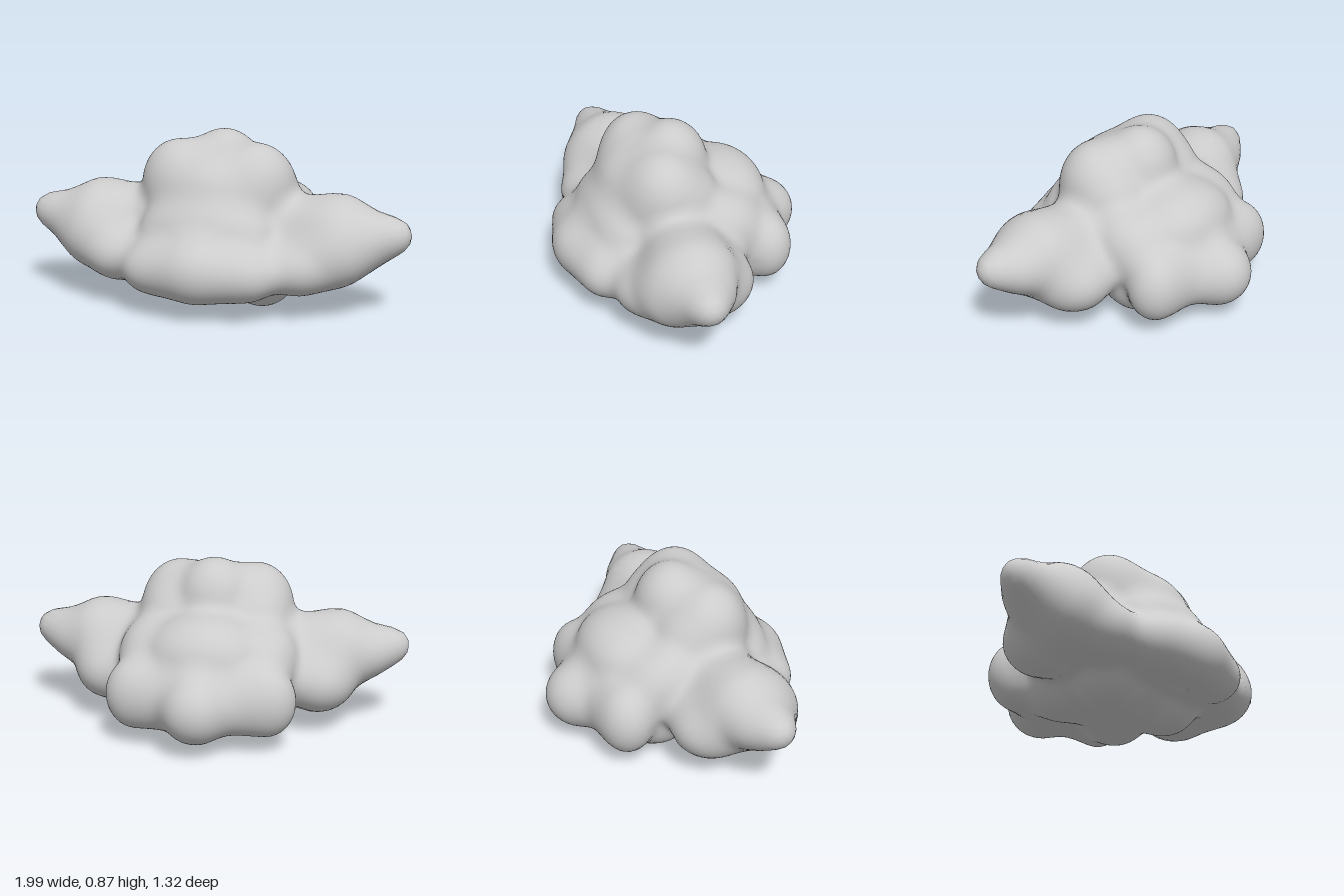
import * as THREE from 'three';
import { mergeVertices } from 'three/addons/utils/BufferGeometryUtils.js';

// Cloud puffs: centre, radii. Puffs off the middle plane are mirrored.
const puffs = [
  // core
  [[0, 0.36, 0], [0.46, 0.3, 0.46]],
  // crown
  [[0, 0.66, 0.03], [0.2, 0.225, 0.19]],
  [[0.2, 0.67, 0.14], [0.17, 0.17, 0.17]],
  [[0.23, 0.57, 0.09], [0.165, 0.18, 0.22]],
  [[0, 0.56, 0.18], [0.29, 0.24, 0.24]],
  // front slope and apron
  [[0, 0.4, 0.34], [0.34, 0.18, 0.175]],
  [[0, 0.26, 0.49], [0.22, 0.165, 0.17]],
  [[0.22, 0.25, 0.44], [0.18, 0.14, 0.16]],
  // back ridge and tail
  [[0, 0.46, -0.26], [0.27, 0.18, 0.2]],
  [[0, 0.25, -0.46], [0.18, 0.18, 0.2]],
  [[0.18, 0.26, -0.38], [0.14, 0.16, 0.13]],
  [[0.33, 0.27, -0.36], [0.15, 0.18, 0.14]],
  [[0.31, 0.42, -0.14], [0.14, 0.16, 0.18]],
  // side wings
  [[0.43, 0.42, 0.12], [0.18, 0.155, 0.19]],
  [[0.62, 0.41, 0.14], [0.2, 0.2, 0.22]],
  [[0.54, 0.28, 0.02], [0.2, 0.175, 0.22]],
  [[0.46, 0.27, 0.31], [0.18, 0.14, 0.17]],
  [[0.62, 0.34, 0.23], [0.2, 0.17, 0.18]],
  [[0.8, 0.4, 0.15], [0.125, 0.125, 0.15]],
  [[0.917, 0.43, 0.17], [0.08, 0.08, 0.08]],
  // underside
  [[0, 0.17, 0], [0.22, 0.14, 0.24]],
  [[0.24, 0.15, 0.15], [0.16, 0.14, 0.17]],
  [[0.22, 0.16, -0.16], [0.17, 0.135, 0.16]],
];

// Approximate distance to one ellipsoid
function ellipsoid(x, y, z, [c, r]) {
  const a = (x - c[0]) / r[0], b = (y - c[1]) / r[1], d = (z - c[2]) / r[2];
  const k0 = Math.hypot(a, b, d);
  const k1 = Math.hypot(a / r[0], b / r[1], d / r[2]);
  return k1 < 1e-6 ? -Math.min(...r) : k0 * (k0 - 1) / k1;
}

// Softly blended union of all the puffs
function field(x, y, z) {
  const k = 0.09;
  let d = 10;
  for (const p of puffs) {
    const e = ellipsoid(Math.abs(x), y, z, p);
    const h = Math.max(k - Math.abs(d - e), 0) / k;
    d = Math.min(d, e) - h * h * k * 0.25;
  }
  return d;
}

// Distance from the middle to the outermost surface in a direction
function reach(dir, origin) {
  const at = (t) => field(origin.x + dir.x * t, origin.y + dir.y * t, origin.z + dir.z * t);
  let t = 1.2;
  while (t > 0.05 && at(t) > 0) t -= 0.012;
  let lo = t, hi = t + 0.012;
  for (let i = 0; i < 8; i++) {
    const m = (lo + hi) / 2;
    if (at(m) > 0) hi = m; else lo = m;
  }
  return lo;
}

export function createModel() {
  const group = new THREE.Group();
  group.name = 'cloud';

  // Wrap a sphere onto the blended puffs
  let geo = new THREE.IcosahedronGeometry(1, 30);
  geo.deleteAttribute('normal');
  geo.deleteAttribute('uv');
  geo = mergeVertices(geo, 1e-4);
  const origin = new THREE.Vector3(0, 0.36, 0.05);
  const pos = geo.attributes.position;
  const v = new THREE.Vector3();
  for (let i = 0; i < pos.count; i++) {
    v.fromBufferAttribute(pos, i).normalize();
    v.multiplyScalar(reach(v, origin)).add(origin);
    pos.setXYZ(i, v.x, v.y, v.z);
  }
  geo.computeVertexNormals();

  const cloud = new THREE.Mesh(geo, new THREE.MeshStandardMaterial({ color: 0xcccccc }));
  cloud.name = 'cloudBody';
  group.add(cloud);
  return group;
}
